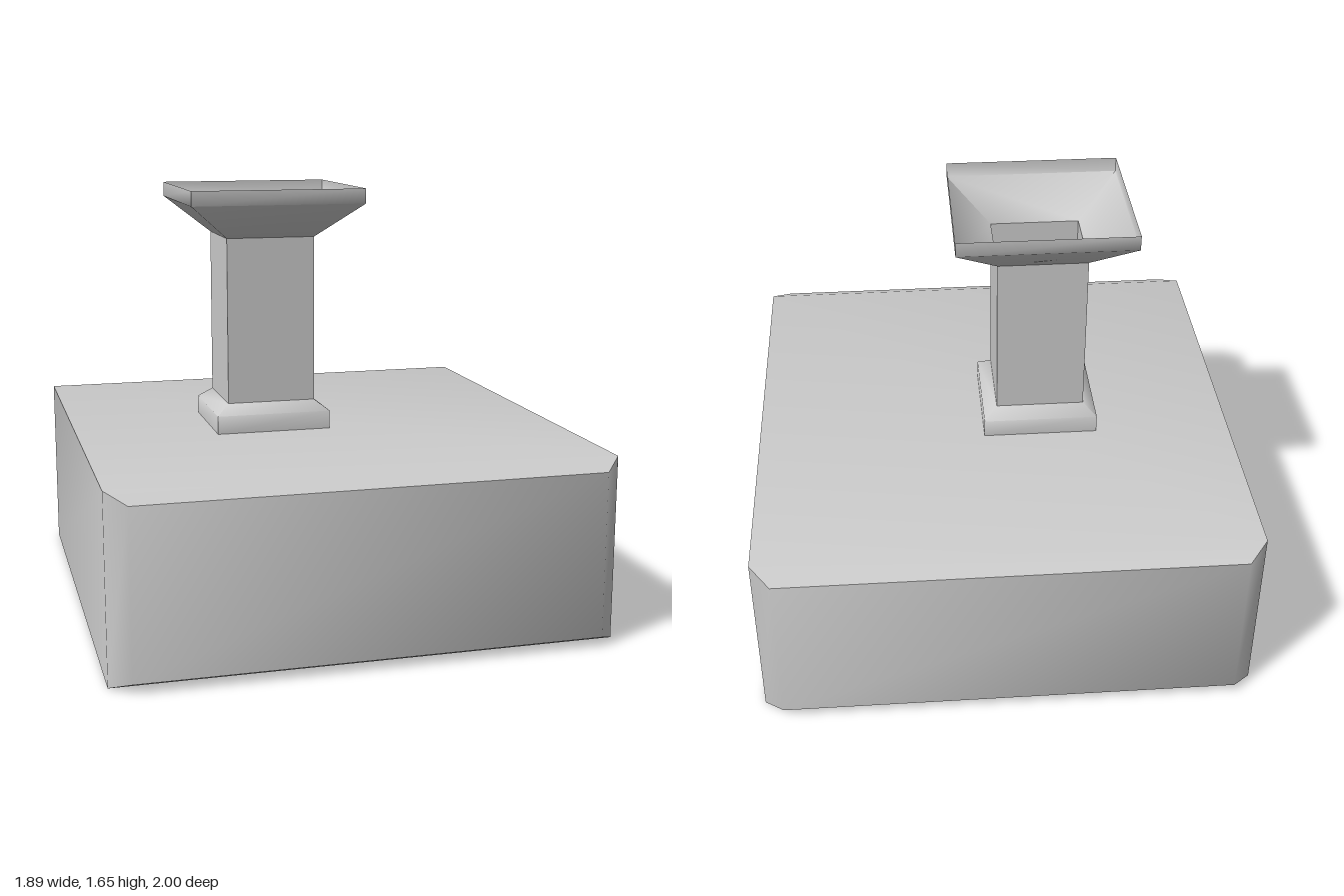
import * as THREE from 'three';
import { mergeGeometries, toCreasedNormals } from 'three/addons/utils/BufferGeometryUtils.js';

const CREASE = Math.PI / 3;
const solid = new THREE.MeshStandardMaterial({ color: 0xcccccc });
const sheet = new THREE.MeshStandardMaterial({ color: 0xcccccc, side: THREE.DoubleSide });

const RIGHT = 0.935, LEFT = -0.947, HEIGHT = 0.7;
const LENS = { y: 0.353, z: 0.53, outer: 0.28, inner: 0.248 };

function addMesh(group, name, geometry, material = solid) {
  const mesh = new THREE.Mesh(geometry, material);
  mesh.name = name;
  group.add(mesh);
  return mesh;
}

// Non-indexed geometry from a list of quads, each four [x, y, z] corners
function quads(list) {
  const positions = [];
  for (const [a, b, c, d] of list) positions.push(...a, ...b, ...c, ...a, ...c, ...d);
  const geometry = new THREE.BufferGeometry();
  geometry.setAttribute('position', new THREE.Float32BufferAttribute(positions, 3));
  return geometry;
}

// Skin between two rings of corners, optionally skipping the first sides
function skin(lower, upper, first = 0) {
  const faces = [];
  for (let i = first; i < lower.length; i++) {
    const j = (i + 1) % lower.length;
    faces.push([lower[i], lower[j], upper[j], upper[i]]);
  }
  return faces;
}

// Open four-sided tube through levels of [halfX, halfZ, y]
function squareTube(levels) {
  const rings = levels.map(([w, d, y]) => [[w, y, d], [w, y, -d], [-w, y, -d], [-w, y, d]]);
  const faces = [];
  for (let i = 1; i < rings.length; i++) faces.push(...skin(rings[i - 1], rings[i]));
  return toCreasedNormals(quads(faces), CREASE);
}

function bodyGeometry() {
  // Plan with cut corners; the front and back edges are drawn in by "inset"
  const outline = [[RIGHT, 0.92], [RIGHT, -0.92], [0.86, -1], [-0.872, -1],
    [LEFT, -0.92], [LEFT, 0.92], [-0.872, 1], [0.86, 1]];
  const ring = (y, inset) => outline.map(([x, z]) => [x, Math.abs(z) === 1 ? y + inset : y, z]);
  const bottom = ring(0, 0.037), top = ring(HEIGHT, -0.037);
  const faces = skin(bottom, top, 1);
  for (const index of [[0, 1, 4, 5], [1, 2, 3, 4], [5, 6, 7, 0]]) {
    faces.push(index.map((i) => top[i]));
    faces.push(index.map((i) => bottom[i]).reverse());
  }

  // Right side panel with the ten-sided lens opening
  const panel = new THREE.Shape([[-0.92, 0], [0.92, 0], [0.92, HEIGHT], [-0.92, HEIGHT]]
    .map(([u, v]) => new THREE.Vector2(u, v)));
  const opening = [];
  for (let i = 0; i < 10; i++) {
    const a = i * Math.PI / 5;
    opening.push(new THREE.Vector2(-LENS.z + LENS.outer * Math.cos(a), LENS.y + LENS.outer * Math.sin(a)));
  }
  panel.holes.push(new THREE.Path(opening));
  const side = new THREE.ShapeGeometry(panel).toNonIndexed();
  side.deleteAttribute('uv');
  side.deleteAttribute('normal');
  side.rotateY(Math.PI / 2).translate(RIGHT, 0, 0);

  return toCreasedNormals(mergeGeometries([quads(faces), side]), CREASE);
}

export function createModel() {
  const model = new THREE.Group();
  model.name = 'ceilingProjector';

  addMesh(model, 'body', bodyGeometry());

  // Recessed lens: bevelled rim, straight wall and flat glass
  const profile = [[LENS.inner, -0.09], [LENS.inner, -0.025], [LENS.outer, 0]]
    .map(([r, h]) => new THREE.Vector2(r, h));
  const rim = toCreasedNormals(new THREE.LatheGeometry(profile, 10).toNonIndexed(), 0.7);
  rim.rotateZ(-Math.PI / 2);
  addMesh(model, 'lensRim', rim, sheet).position.set(RIGHT, LENS.y, LENS.z);
  const glass = new THREE.CircleGeometry(LENS.inner, 10).rotateY(Math.PI / 2);
  addMesh(model, 'lens', glass).position.set(RIGHT - 0.09, LENS.y, LENS.z);

  // Row of buttons on the right side
  for (let i = 0; i < 3; i++) {
    const button = addMesh(model, 'button', new THREE.BoxGeometry(0.04, 0.1, 0.15));
    button.position.set(0.927, 0.53, -0.085 - 0.3 * i);
  }

  // Ceiling mount: collar, hollow column and flared head
  const mount = new THREE.Group();
  mount.name = 'ceilingMount';
  mount.position.x = -0.187;
  model.add(mount);
  addMesh(mount, 'collar', squareTube([[0.225, 0.212, HEIGHT], [0.225, 0.212, 0.77], [0.173, 0.164, 0.81]]), sheet);
  addMesh(mount, 'column', squareTube([[0.173, 0.164, HEIGHT], [0.173, 0.164, 1.455]]), sheet);
  addMesh(mount, 'flaredHead', squareTube([[0.173, 0.164, 1.455], [0.336, 0.318, 1.59], [0.336, 0.318, 1.647]]), sheet);

  return model;
}
